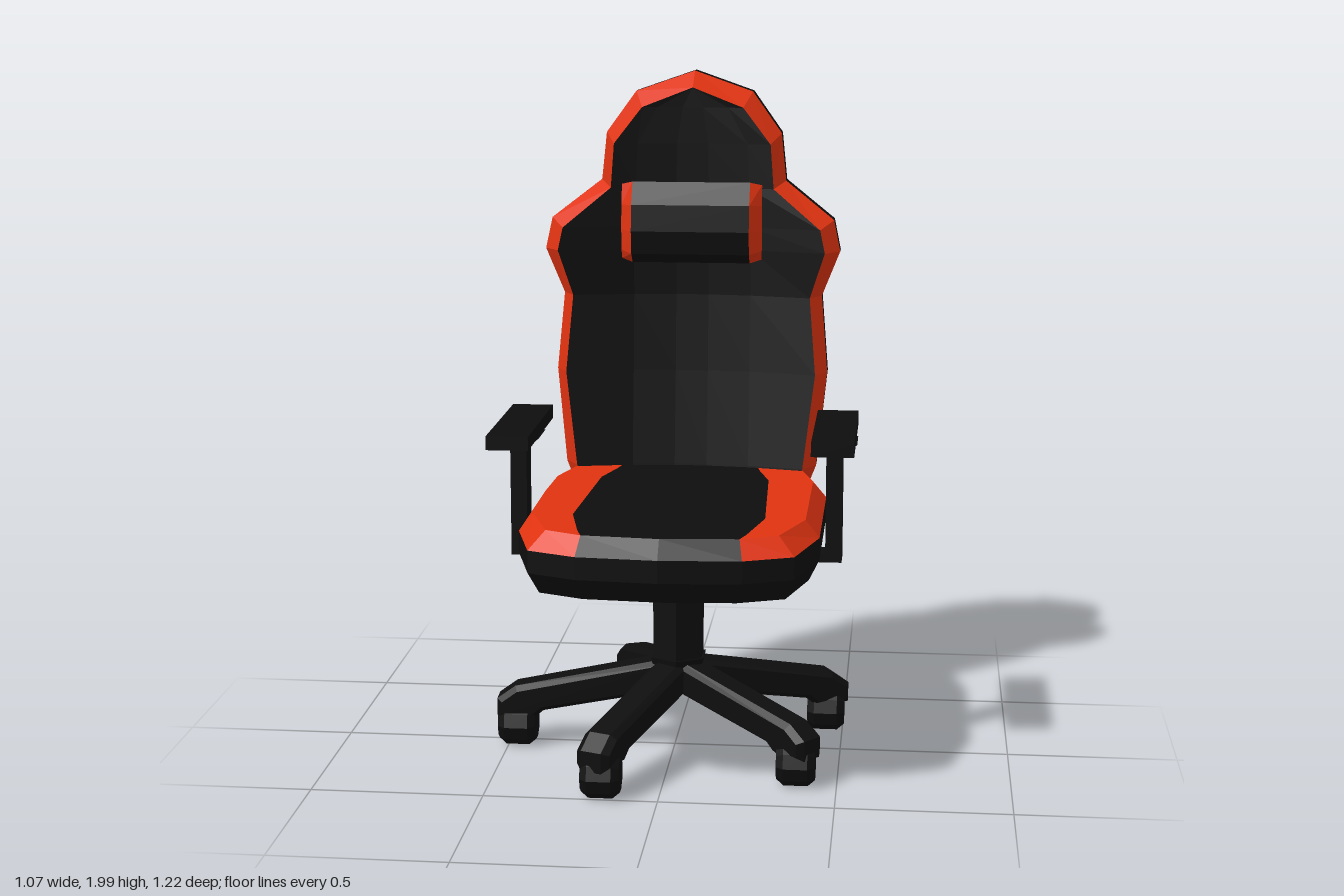
import * as THREE from 'three';

const black = new THREE.MeshStandardMaterial({ color: 0x0e0e0e, flatShading: true });
black.name = 'black';
const orange = new THREE.MeshStandardMaterial({ color: 0xe03311, flatShading: true });
orange.name = 'orange';

// Faceted geometry from convex polygons of [x, y, z] corners
function facets(polys) {
  const pos = [];
  for (const p of polys)
    for (let k = 1; k < p.length - 1; k++) pos.push(...p[0], ...p[k], ...p[k + 1]);
  const g = new THREE.BufferGeometry();
  g.setAttribute('position', new THREE.Float32BufferAttribute(pos, 3));
  g.computeVertexNormals();
  return g;
}

// Quads joining two closed loops, counterclockwise seen from loop a's side
const band = (a, b) => a.map((p, i) => {
  const j = (i + 1) % a.length;
  return [p, b[i], b[j], a[j]];
});
const mirror = (poly) => poly.map(([x, y, z]) => [-x, y, z]).reverse();

function add(parent, name, geometry, material, x = 0, y = 0, z = 0) {
  const mesh = new THREE.Mesh(geometry, material);
  mesh.name = name;
  mesh.position.set(x, y, z);
  parent.add(mesh);
  return mesh;
}

function makeBackrest() {
  const group = new THREE.Group();
  group.name = 'backrest';
  // outer y, outer half width, inner y, inner half width
  const rows = [
    [1.997, 0, 1.95, 0], [1.935, 0.18, 1.89, 0.155], [1.81, 0.27, 1.78, 0.24],
    [1.665, 0.285, 1.645, 0.25], [1.55, 0.435, 1.525, 0.395], [1.455, 0.455, 1.455, 0.41],
    [1.315, 0.40, 1.315, 0.365], [1.08, 0.42, 1.08, 0.385], [0.79, 0.39, 0.79, 0.35],
    [0.66, 0.34, 0.69, 0.30], [0.60, 0, 0.65, 0],
  ];
  // wings curve forward, the lower part leans forward
  const at = (x, y, z) => [x, y, z + 0.4 * x * x + 0.12 * Math.max(0, 1.25 - y)];
  const ring = (k, z) => [
    ...rows.map((r) => at(-r[k + 1], r[k], z)),
    ...rows.slice(1, -1).reverse().map((r) => at(r[k + 1], r[k], z)),
  ];
  const zFront = -0.425, zBack = -0.61;
  const outerFront = ring(0, -0.50), outerBack = ring(0, -0.555);
  add(group, 'frontTrim', facets(band(ring(2, zFront), outerFront)), orange);
  add(group, 'sideBand', facets(band(outerFront, outerBack)), black);
  add(group, 'rearTrim', facets(band(outerBack, ring(2, zBack))), orange);

  // front and rear panels as grids with two openings
  const grid = (z) => rows.map(([, , y, w]) => {
    const a = Math.min(0.05, 0.2 * w), b = Math.min(0.18, 0.7 * w);
    return [-w, -b, -a, a, b, w].map((x) => at(x, y, z));
  });
  const panel = (g) => {
    const polys = [];
    for (let i = 0; i < rows.length - 1; i++)
      for (let c = 0; c < 5; c++) {
        const opening = (i === 3 || i === 4) && (c === 1 || c === 3);
        if (!opening) polys.push([g[i][c], g[i + 1][c], g[i + 1][c + 1], g[i][c + 1]]);
      }
    return polys;
  };
  const front = grid(zFront), back = grid(zBack);
  add(group, 'frontPanel', facets(panel(front)), black);
  add(group, 'rearPanel', facets(panel(back).map((p) => p.reverse())), black);
  const hole = (g, c) => [g[3][c], g[3][c + 1], g[4][c + 1], g[5][c + 1], g[5][c], g[4][c]];
  for (const c of [1, 3])
    add(group, 'openingWall', facets(band(hole(front, c), hole(back, c))), black);
  return group;
}

function makePillow() {
  const group = new THREE.Group();
  group.name = 'headPillow';
  const profile = [[-0.43, 1.66], [-0.375, 1.667], [-0.335, 1.60], [-0.325, 1.52],
    [-0.335, 1.45], [-0.375, 1.42], [-0.43, 1.42]];
  const section = (x, s) => profile.map(([z, y]) => [x, 1.54 + (y - 1.54) * (0.85 + 0.15 * s), -0.42 + (z + 0.42) * s]);
  const inner = section(0.18, 1), tip = section(0.215, 0.5);
  add(group, 'pillowMiddle', facets(band(inner, section(-0.18, 1))), black);
  const end = [...band(tip, inner), tip];
  add(group, 'pillowEnds', facets([...end, ...end.map(mirror)]), orange);
  return group;
}

function makeSeat() {
  const group = new THREE.Group();
  group.name = 'seat';
  // outer half width, outer z, inner half width, inner z, centre panel half width
  const rows = [
    [0, 0.605, 0, 0.56, 0], [0.23, 0.588, 0.22, 0.54, 0.22], [0.37, 0.53, 0.325, 0.49, 0.235],
    [0.43, 0.31, 0.39, 0.30, 0.275], [0.43, -0.19, 0.39, -0.18, 0.255],
    [0.395, -0.32, 0.355, -0.31, 0.22], [0.34, -0.46, 0.30, -0.46, 0.19],
  ];
  const ring = (k, y, s = 1) => {
    const right = rows.map((r) => [r[k] * s, y, r[k + 1] * s]);
    return [...right, ...right.slice(1).reverse().map(([x, yy, z]) => [-x, yy, z])];
  };
  const top = 0.785;
  const upper = ring(0, 0.735), lower = ring(0, 0.67), base = ring(0, 0.605, 0.93);
  const bevel = band(ring(2, top), upper);
  const isBlack = (i) => i % 6 === 0;
  const trim = bevel.filter((q, i) => !isBlack(i));
  const centre = bevel.filter((q, i) => isBlack(i));
  for (let i = 0; i < rows.length - 1; i++) {
    const [, , w, z, p] = rows[i], [, , w2, z2, p2] = rows[i + 1];
    const strip = [[p, top, z], [w, top, z], [w2, top, z2], [p2, top, z2]];
    if (i > 0) trim.push(strip, mirror(strip));
    centre.push([[-p, top, z], [p, top, z], [p2, top, z2], [-p2, top, z2]]);
  }
  add(group, 'seatSideTrim', facets(trim), orange);
  add(group, 'seatCentre', facets(centre), black);
  add(group, 'seatBase', facets([...band(upper, lower), ...band(lower, base), base.slice().reverse()]), black);
  return group;
}

function makeArmrest(side) {
  const group = new THREE.Group();
  group.name = side > 0 ? 'leftArmrest' : 'rightArmrest';
  const x = side * 0.463;
  add(group, 'armPad', new THREE.BoxGeometry(0.122, 0.04, 0.48), black, x, 0.987, 0.063);
  const bracket = new THREE.CylinderGeometry(0.092, 0.045, 0.03, 4).rotateY(Math.PI / 4);
  add(group, 'armBracket', bracket, black, x, 0.952, 0.065);
  add(group, 'armPost', new THREE.BoxGeometry(0.048, 0.36, 0.08), black, x, 0.79, 0.065);
  add(group, 'armMount', new THREE.BoxGeometry(0.16, 0.025, 0.08), black, side * 0.407, 0.622, 0.065);
  return group;
}

function makeBase() {
  const group = new THREE.Group();
  group.name = 'wheelBase';
  const cz = 0.01;
  add(group, 'column', new THREE.CylinderGeometry(0.083, 0.083, 0.37, 6), black, 0, 0.425, cz);
  add(group, 'hub', new THREE.CylinderGeometry(0.09, 0.07, 0.1, 6), black, 0, 0.24, cz);
  // wheel positions around the column
  const wheels = [[-0.485, 0.03], [-0.177, 0.465], [0.37, 0.31], [0.437, -0.20], [-0.177, -0.41]];
  for (const [x, z] of wheels) {
    const len = Math.hypot(x, z - cz) + 0.06;
    const shape = new THREE.Shape([[0, 0.29], [0, 0.19], [len - 0.14, 0.115], [len - 0.11, 0.09],
      [len, 0.09], [len, 0.15], [len - 0.055, 0.19]].map((p) => new THREE.Vector2(...p)));
    const geo = new THREE.ExtrudeGeometry(shape, {
      depth: 0.064, bevelThickness: 0.02, bevelSize: 0.015, bevelOffset: -0.015, bevelSegments: 1,
    }).translate(0, 0, -0.032);
    add(group, 'leg', geo, black, 0, 0, cz).rotation.y = -Math.atan2(z - cz, x);
    // wheel with chamfered rims
    const rim = [[0, -0.056], [0.05, -0.056], [0.068, -0.035], [0.068, 0.035], [0.05, 0.056], [0, 0.056]];
    const wheel = new THREE.LatheGeometry(rim.map((p) => new THREE.Vector2(...p)), 10).rotateZ(Math.PI / 2);
    add(group, 'wheel', wheel, black, x, 0.067, z);
  }
  return group;
}

export function createModel() {
  const model = new THREE.Group();
  model.name = 'deskChair';
  const chair = new THREE.Group();
  chair.name = 'chair';
  chair.position.x = 0.012;
  chair.add(makeBackrest(), makePillow(), makeSeat(), makeArmrest(1), makeArmrest(-1), makeBase());
  model.add(chair);
  return model;
}
